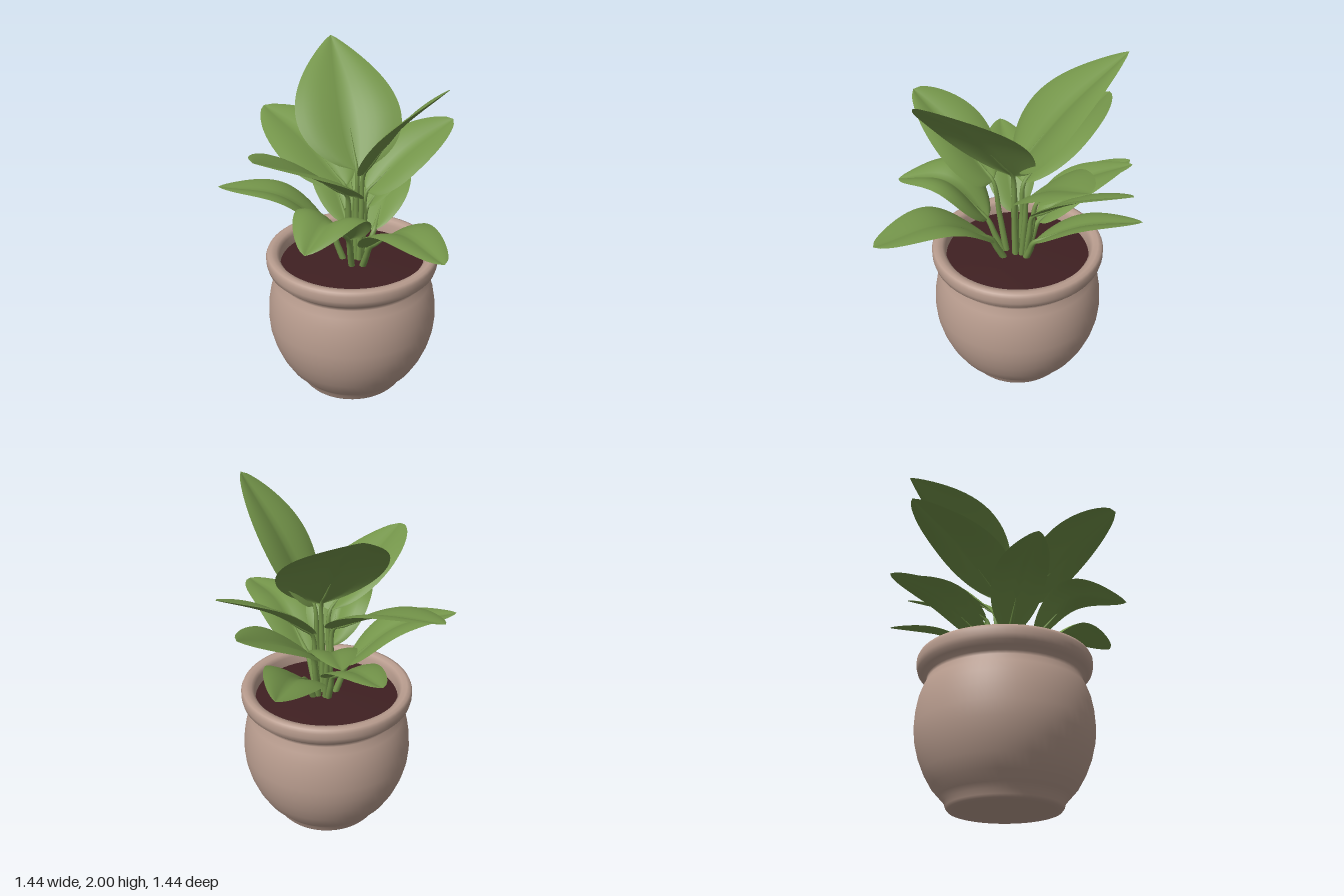
import * as THREE from 'three';

const potMat = new THREE.MeshStandardMaterial({ color: 0xb89c8e });
potMat.name = 'clay';
const leafMat = new THREE.MeshStandardMaterial({ color: 0x74954a, side: THREE.DoubleSide });
leafMat.name = 'leafGreen';
const soilMat = new THREE.MeshStandardMaterial({ color: 0x3f2022 });
soilMat.name = 'soil';

const UP = new THREE.Vector3(0, 1, 0);
const V = (a) => new THREE.Vector3(...a);

function mesh(geometry, material, name) {
  const m = new THREE.Mesh(geometry, material);
  m.name = name;
  return m;
}

// Midrib: a curve from base to tip, raised by the arch near its middle
function ribOf({ base, tip, arch }) {
  const mid = V(base).lerp(V(tip), 0.45).addScaledVector(UP, arch);
  return new THREE.CatmullRomCurve3([V(base), mid, V(tip)]);
}

// Blade: a sheet along the midrib, folded along its centre; low "round" values give blunter ends
function bladeGeometry(spec) {
  const { base, tip, width, tilt = 0, turn = 0, fold = 0.16, peak = 0.82, round = 0.7 } = spec;
  const rib = ribOf(spec);
  const chord = V(tip).sub(V(base));
  const across = new THREE.Vector3(-chord.z, 0, chord.x).normalize().applyAxisAngle(UP, turn);
  across.addScaledVector(UP, tilt).normalize();
  const geo = new THREE.PlaneGeometry(1, 1, 12, 32);
  const pos = geo.attributes.position, normal = new THREE.Vector3();
  for (let i = 0; i < pos.count; i++) {
    const v = pos.getX(i) * 2, t = pos.getY(i) + 0.5;
    const p = rib.getPoint(t);
    normal.crossVectors(rib.getTangent(t), across).normalize();
    if (normal.y < 0) normal.negate();
    const w = width * Math.pow(Math.max(0, Math.sin(Math.PI * Math.pow(t, peak))), round);
    // edges lift near the rib and relax outward
    const lift = fold * w * Math.sin(Math.abs(v) * 2.2);
    p.addScaledVector(across, v * w).addScaledVector(normal, lift);
    pos.setXYZ(i, p.x, p.y, p.z);
  }
  geo.computeVertexNormals();
  return geo;
}

// Stem: rises from the soil, bends into the midrib and tapers out along it
function stemGeometry(spec) {
  const rib = ribOf(spec), base = V(spec.base);
  const root = new THREE.Vector3(0.015 + base.x * 0.45, 0.78, base.z * 0.45);
  const path = new THREE.CatmullRomCurve3([root, root.clone().lerp(base, 0.55), base, rib.getPoint(0.12), rib.getPoint(0.3)]);
  const rings = 24, sides = 8;
  const geo = new THREE.TubeGeometry(path, rings, 0.02, sides);
  const pos = geo.attributes.position, p = new THREE.Vector3();
  for (let i = 0; i < pos.count; i++) {
    const t = Math.floor(i / (sides + 1)) / rings;
    const centre = path.getPointAt(t);
    p.fromBufferAttribute(pos, i).sub(centre).multiplyScalar(1 - 0.9 * t * t).add(centre);
    pos.setXYZ(i, p.x, p.y, p.z);
  }
  return geo;
}

const leaves = [
  // tall pair
  { name: 'tallBackLeaf', base: [0.04, 1.38, 0.01], tip: [-0.33, 1.985, -0.52], arch: 0.05, width: 0.3, turn: -0.1, peak: 0.7, round: 0.85 },
  { name: 'tallSideLeaf', base: [0.08, 1.36, 0.01], tip: [0.62, 2, 0.31], arch: 0.05, width: 0.25, turn: 0.42, fold: 0.1 },
  // front leaves
  { name: 'frontUpperLeaf', base: [0.03, 1.28, 0.14], tip: [-0.24, 1.65, 0.7], arch: 0.03, width: 0.225, tilt: 0.2, turn: 0.3, round: 0.6 },
  { name: 'frontLowerLeaf', base: [0.05, 1.02, 0.17], tip: [0.03, 1.2, 0.72], arch: 0.14, width: 0.195, fold: 0.28 },
  { name: 'frontLeftLowerLeaf', base: [0.16, 0.97, 0.12], tip: [0.71, 1.215, 0.58], arch: 0.12, width: 0.17, round: 0.6 },
  // right-hand leaves
  { name: 'rightLowerLeaf', base: [-0.1, 0.99, 0.05], tip: [-0.68, 1.29, 0.31], arch: 0.1, width: 0.155 },
  { name: 'rightUpperLeaf', base: [-0.04, 1.25, -0.02], tip: [-0.72, 1.55, -0.37], arch: 0.055, width: 0.235, tilt: 0.2 },
  // back leaves
  { name: 'backRightLowerLeaf', base: [-0.06, 0.98, -0.1], tip: [-0.46, 1.25, -0.56], arch: 0.06, width: 0.14, round: 0.6 },
  { name: 'backRightUpperLeaf', base: [-0.03, 1.13, -0.1], tip: [-0.26, 1.34, -0.6], arch: 0.045, width: 0.13 },
  { name: 'backLeftUpperLeaf', base: [0.07, 1.22, -0.07], tip: [0.45, 1.57, -0.49], arch: 0.04, width: 0.19, tilt: -0.25, round: 0.6 },
  { name: 'backLeftMiddleLeaf', base: [0.06, 1.1, -0.1], tip: [0.26, 1.46, -0.68], arch: 0.03, width: 0.16, tilt: 0.3, round: 0.6 },
  { name: 'backLowerLeaf', base: [0.1, 0.95, -0.12], tip: [0.05, 1.17, -0.72], arch: 0.05, width: 0.17, tilt: 0.28 },
];

export function createModel() {
  const model = new THREE.Group();
  model.name = 'pottedPlant';

  // Pot: foot, round belly, neck and rolled rim, turning inward down to the soil
  const profile = [
    [0, 0.015], [0.27, 0.012], [0.285, 0], [0.308, 0.003], [0.32, 0.018], [0.328, 0.045], [0.352, 0.072],
    [0.4, 0.125], [0.443, 0.2], [0.477, 0.285], [0.498, 0.37], [0.505, 0.45], [0.5, 0.54],
    [0.486, 0.62], [0.465, 0.68], [0.444, 0.725], [0.447, 0.745], [0.475, 0.765],
    [0.497, 0.785], [0.505, 0.815], [0.505, 0.85], [0.496, 0.87], [0.475, 0.876],
    [0.445, 0.868], [0.427, 0.845], [0.422, 0.78],
  ].map(([r, y]) => new THREE.Vector2(r, y));
  const pot = mesh(new THREE.LatheGeometry(profile, 64), potMat, 'pot');
  pot.position.set(0.008, 0, 0.004);
  model.add(pot);

  // Soil: shallow mound
  const mound = [[0.427, 0.79], [0.3, 0.8], [0.12, 0.812], [0, 0.815]].map(([r, y]) => new THREE.Vector2(r, y));
  const soil = mesh(new THREE.LatheGeometry(mound, 48), soilMat, 'soil');
  soil.position.copy(pot.position);
  model.add(soil);

  // Leaves with their stems
  for (const spec of leaves) {
    const leaf = new THREE.Group();
    leaf.name = spec.name;
    leaf.add(mesh(bladeGeometry(spec), leafMat, 'blade'), mesh(stemGeometry(spec), leafMat, 'stem'));
    model.add(leaf);
  }
  return model;
}
